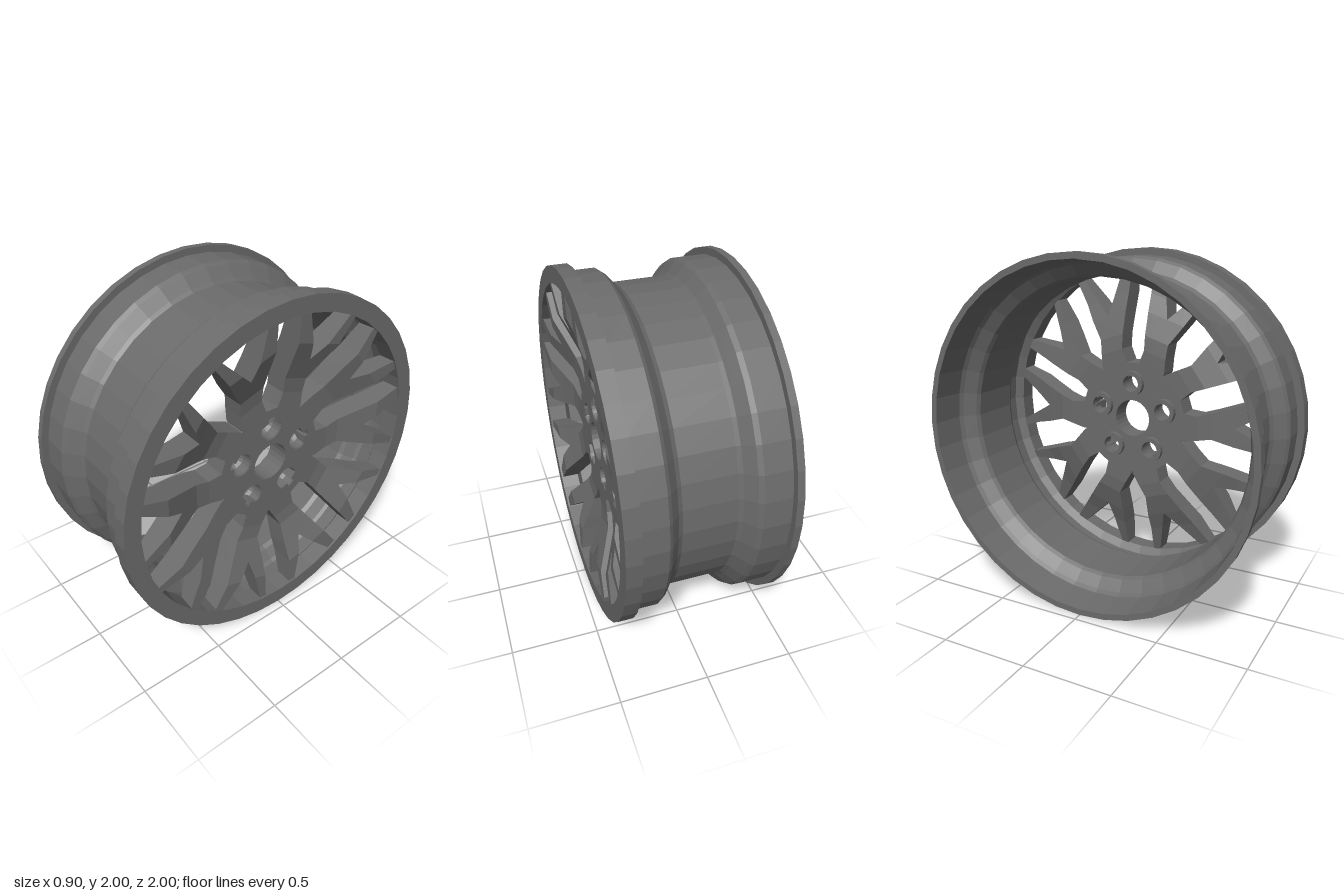
import * as THREE from 'three';

const V2 = (x, y) => new THREE.Vector2(x, y);
const polar = (r, a) => V2(r * Math.cos(a), r * Math.sin(a));
const DEG = Math.PI / 180;

// Faceted normals, one per triangle
function faceted(geo) {
  const g = geo.index ? geo.toNonIndexed() : geo;
  g.computeVertexNormals();
  return g;
}

// Closed ring of revolution around z; profile is [radius, depth], counter-clockwise
function ring(profile, sides) {
  const pts = [...profile, profile[0]].map(([r, z]) => V2(r, z));
  return faceted(new THREE.LatheGeometry(pts, sides).rotateX(Math.PI / 2));
}

// Bar lofted through rectangular sections [u, v0, v1, front, back]
function bar(sections) {
  const rows = sections.map(([u, v0, v1, f, b]) =>
    [[u, v0, f], [u, v1, f], [u, v1, b], [u, v0, b]]);
  const pos = [];
  const quad = (a, b, c, d) => pos.push(...a, ...b, ...c, ...a, ...c, ...d);
  for (let i = 0; i < rows.length - 1; i++) {
    for (let j = 0; j < 4; j++) {
      const k = (j + 1) % 4;
      quad(rows[i][j], rows[i + 1][j], rows[i + 1][k], rows[i][k]);
    }
  }
  const first = rows[0], last = rows[rows.length - 1];
  quad(first[0], first[1], first[2], first[3]);
  quad(last[3], last[2], last[1], last[0]);
  const g = new THREE.BufferGeometry();
  g.setAttribute('position', new THREE.Float32BufferAttribute(pos, 3));
  g.computeVertexNormals();
  return g;
}

export function createModel() {
  const metal = new THREE.MeshStandardMaterial({ color: 0x6b6b6b });
  metal.name = 'grey metal';
  const model = new THREE.Group();
  model.name = 'wheel';

  // Built around z, then turned so the spoked face looks along +x
  const wheel = new THREE.Group();
  wheel.name = 'wheelAssembly';
  wheel.rotation.y = Math.PI / 2;
  wheel.position.y = 1;
  model.add(wheel);
  const add = (name, geo, parent = wheel) => {
    const m = new THREE.Mesh(geo, metal);
    m.name = name;
    parent.add(m);
    return m;
  };

  // Rim: outer wall from back to front, front lip, then inner wall back again
  add('rim', ring([
    [0.965, -0.45], [1, -0.45], [1, -0.41], [0.96, -0.41], [0.96, -0.26],
    [0.945, -0.235], [0.885, -0.185], [0.87, -0.165], [0.87, 0.125],
    [0.885, 0.15], [0.945, 0.2], [0.96, 0.22], [0.96, 0.365], [1, 0.365],
    [1, 0.45], [0.905, 0.45], [0.9, 0.34], [0.945, 0.31], [0.945, 0.225],
    [0.93, 0.205], [0.875, 0.158], [0.862, 0.13], [0.862, -0.17],
    [0.875, -0.193], [0.935, -0.242], [0.95, -0.265],
  ], 40));

  // Hub plate with centre bore and five bolt holes
  const outline = [];
  for (let k = 0; k < 5; k++) {
    const a = (90 + 72 * k) * DEG;
    outline.push(polar(0.342, a - 6.7 * DEG), polar(0.342, a + 6.7 * DEG), polar(0.34, a + 36 * DEG));
  }
  const hub = new THREE.Shape(outline);
  const hole = (x, y, r) => hub.holes.push(new THREE.Path().absarc(x, y, r, 0, Math.PI * 2, true));
  hole(0, 0, 0.112);
  const bolts = [0, 1, 2, 3, 4].map((k) => polar(0.218, (90 + 72 * k) * DEG));
  bolts.forEach((p) => hole(p.x, p.y, 0.07));
  add('hub', faceted(new THREE.ExtrudeGeometry(hub, { depth: 0.13, bevelEnabled: false, curveSegments: 12 })
    .translate(0, 0, 0.2)));

  // Tapered bolt seats
  const seat = ring([
    [0.05, 0.17], [0.076, 0.17], [0.076, 0.26], [0.071, 0.325], [0.067, 0.325], [0.064, 0.27], [0.05, 0.25],
  ], 20);
  bolts.forEach((p) => add('boltSeat', seat).position.set(p.x, p.y, 0));

  // Forked spokes: stem, then two branches rising to the rim
  const stem = [
    [0.25, -0.075, 0.065, 0.33, 0.2], [0.335, -0.105, 0.067, 0.33, 0.2],
    [0.42, -0.085, 0.06, 0.33, 0.2], [0.503, -0.069, 0.086, 0.34, 0.21],
    [0.63, -0.11, 0.127, 0.39, 0.25],
  ];
  const branchA = [
    [0.63, 0, 0.127, 0.39, 0.25], [0.73, 0.057, 0.16, 0.43, 0.29], [0.905, 0.156, 0.216, 0.44, 0.345],
  ];
  const branchB = [
    [0.63, -0.11, 0, 0.39, 0.25], [0.73, -0.137, -0.057, 0.43, 0.29], [0.905, -0.196, -0.152, 0.44, 0.345],
  ];
  const flip = (s) => s.map(([u, v0, v1, f, b]) => [u, -v1, -v0, f, b]);
  const parts = { spokeStem: stem, spokeBranchA: branchA, spokeBranchB: branchB };
  for (let k = 0; k < 10; k++) {
    const spoke = new THREE.Group();
    spoke.name = 'spoke';
    spoke.rotation.z = (72 + 36 * k) * DEG;
    wheel.add(spoke);
    for (const [name, s] of Object.entries(parts)) add(name, bar(k % 2 ? flip(s) : s), spoke);
  }
  return model;
}
